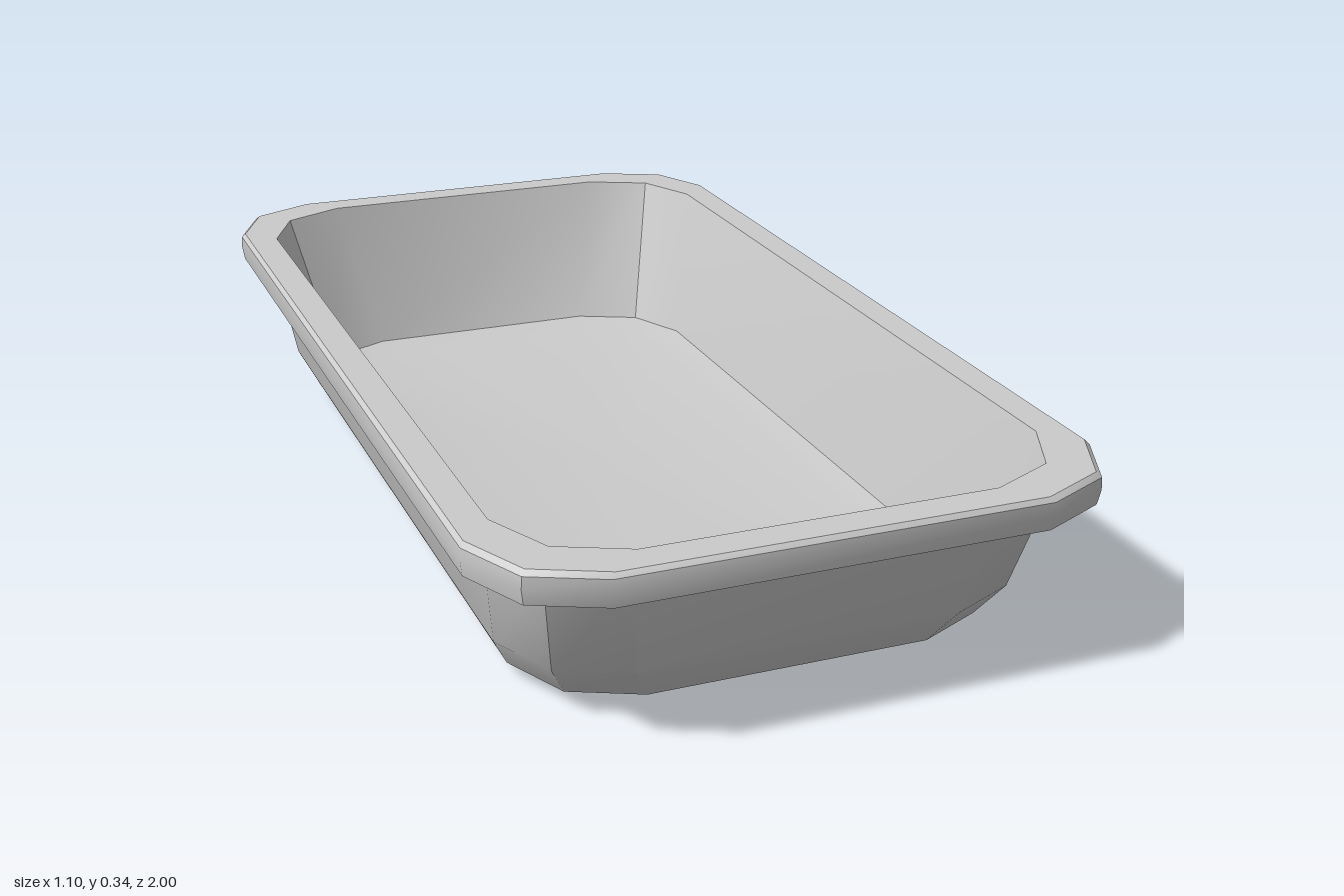
import * as THREE from 'three';
import { toCreasedNormals } from 'three/addons/utils/BufferGeometryUtils.js';

// Twelve-sided rectangle with chamfered corners, running from +x towards +z
function ring([x, z, y]) {
  const cut = 0.177, mid = 0.056;
  const corner = [[x, z - cut], [x - mid, z - mid], [x - cut, z]];
  const flipped = [...corner].reverse();
  return [
    ...corner,
    ...flipped.map(([a, b]) => [-a, b]),
    ...corner.map(([a, b]) => [-a, -b]),
    ...flipped.map(([a, b]) => [a, -b]),
  ].map(([a, b]) => new THREE.Vector3(a, y, b));
}

// Skin a list of [half width, half length, height]; optionally close an end
function loft(name, profile, material, capStart = false, capEnd = false) {
  const rings = profile.map(ring);
  const n = rings[0].length;
  const points = [];
  for (let i = 0; i < rings.length - 1; i++) {
    for (let j = 0; j < n; j++) {
      const k = (j + 1) % n;
      const [a, b, c, d] = [rings[i][j], rings[i][k], rings[i + 1][j], rings[i + 1][k]];
      points.push(a, c, b, b, c, d);
    }
  }
  const cap = (r, up) => {
    const center = new THREE.Vector3(0, r[0].y, 0);
    for (let j = 0; j < n; j++) {
      const k = (j + 1) % n;
      points.push(center, up ? r[k] : r[j], up ? r[j] : r[k]);
    }
  };
  if (capStart) cap(rings[0], false);
  if (capEnd) cap(rings[rings.length - 1], true);
  const geometry = toCreasedNormals(new THREE.BufferGeometry().setFromPoints(points), 0.5);
  const mesh = new THREE.Mesh(geometry, material);
  mesh.name = name;
  return mesh;
}

export function createModel() {
  const group = new THREE.Group();
  group.name = 'bakingTray';
  const material = new THREE.MeshStandardMaterial({ color: 0xcccccc });

  // Outside of the tray, from the base up to beneath the rim
  group.add(loft('outerShell', [
    [0.36, 0.77, 0],
    [0.428, 0.838, 0.028],
    [0.463, 0.88, 0.095],
    [0.494, 0.937, 0.283],
    [0.5, 0.947, 0.322],
  ], material, true));

  // Turned-down rim, hollow underneath
  group.add(loft('rim', [
    [0.5, 0.947, 0.322],
    [0.534, 0.985, 0.322],
    [0.534, 0.985, 0.283],
    [0.545, 0.996, 0.283],
    [0.549, 1.0, 0.31],
    [0.548, 0.999, 0.332],
    [0.541, 0.992, 0.34],
    [0.484, 0.934, 0.34],
  ], material));

  // Sloping inner walls and slightly dished floor
  group.add(loft('innerShell', [
    [0.484, 0.934, 0.34],
    [0.418, 0.827, 0.045],
    [0.36, 0.77, 0.034],
  ], material, false, true));

  return group;
}
